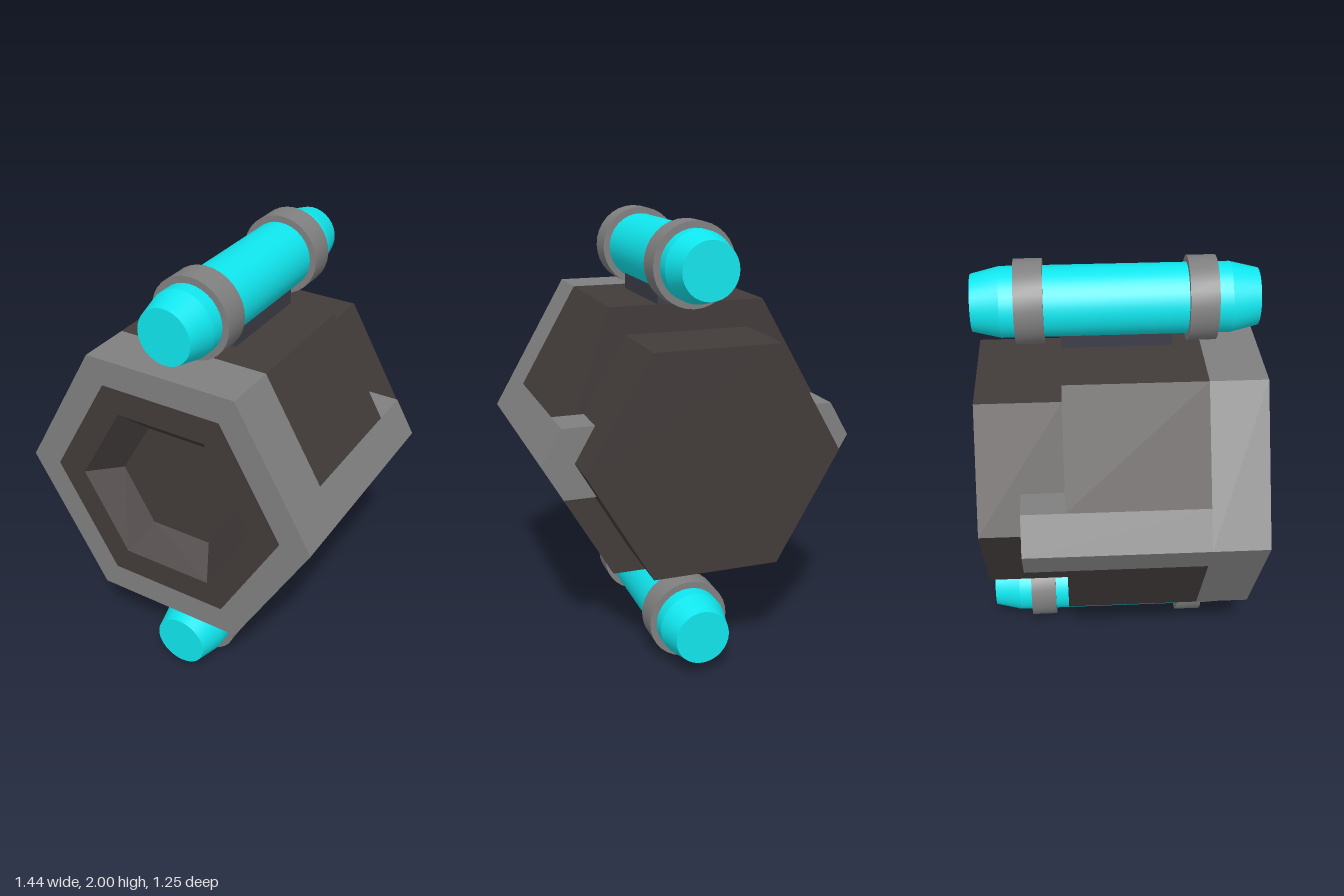
import * as THREE from 'three';
import { toCreasedNormals } from 'three/addons/utils/BufferGeometryUtils.js';

const material = (color, flatShading = false) => new THREE.MeshStandardMaterial({ color, flatShading });

// Corner points of a hexagon with corners on the x axis
const hexPoints = (r) =>
  Array.from({ length: 6 }, (_, i) => new THREE.Vector2(r * Math.cos((i * Math.PI) / 3), r * Math.sin((i * Math.PI) / 3)));

// Straight extrusion along z between two depths
function prism(points, back, front, hole) {
  const shape = new THREE.Shape(points);
  if (hole) shape.holes.push(new THREE.Path(hole));
  return new THREE.ExtrudeGeometry(shape, { depth: front - back, bevelEnabled: false }).translate(0, 0, back);
}

// Profile of [radius, z] pairs turned about the z axis
function turned(profile, sides) {
  const points = profile.map(([r, z]) => new THREE.Vector2(r, z));
  return new THREE.LatheGeometry(points, sides, Math.PI / 2).rotateX(Math.PI / 2);
}

export function createModel() {
  const model = new THREE.Group();
  const grey = material(0x808080);
  const dark = material(0x423b3a);
  const darkFlat = material(0x423b3a, true);
  const slate = material(0x3d3e48);
  const cyan = material(0x10e6ee);

  const add = (name, geometry, mat, parent) => {
    const mesh = new THREE.Mesh(geometry, mat);
    mesh.name = name;
    parent.add(mesh);
    return mesh;
  };

  const R = 0.722, INNER = 0.577, ARM = 0.16;
  const edgeX = (r) => r - ARM / Math.sqrt(3); // hexagon edge at the arm's height

  const housing = new THREE.Group();
  housing.name = 'housing';
  housing.position.y = 1;
  model.add(housing);

  // Front collar and the recessed core inside it
  add('frontCollar', prism(hexPoints(R), 0.375, 0.625, hexPoints(INNER)), grey, housing);
  const core = [[0, 0.375], [INNER, 0.375], [INNER, 0.625], [0.433, 0.625], [0.3, 0.5], [0, 0.5]];
  add('recessedCore', turned(core, 6), darkFlat, housing);

  // Middle body: hexagon with its side corners cut off for the arms
  const h = R * Math.sin(Math.PI / 3);
  const body = [
    [R / 2, h], [-R / 2, h], [-edgeX(R), ARM], [-edgeX(R), -ARM],
    [-R / 2, -h], [R / 2, -h], [edgeX(R), -ARM], [edgeX(R), ARM],
  ].map((p) => new THREE.Vector2(...p));
  add('middleBody', prism(body, -0.245, 0.375), dark, housing);
  add('rearBody', prism(hexPoints(INNER), -0.625, -0.245), dark, housing);

  // Chevron arms wrapping the left and right corners
  for (const [name, s] of [['leftArm', 1], ['rightArm', -1]]) {
    const arm = [
      [edgeX(R), ARM], [edgeX(INNER), ARM], [INNER, 0],
      [edgeX(INNER), -ARM], [edgeX(R), -ARM], [R, 0],
    ].map(([x, y]) => new THREE.Vector2(s * x, y));
    add(name, prism(arm, -0.435, 0.375), grey, housing);
  }

  // Canisters above and below, each with two rings and a mounting block
  const canister = [[0, -0.625], [0.125, -0.625], [0.155, -0.5], [0.155, 0.5], [0.125, 0.625], [0, 0.625]];
  const ring = [[0.15, -0.0625], [0.185, -0.0625], [0.185, 0.0625], [0.15, 0.0625]];
  const canisterGeometry = toCreasedNormals(turned(canister, 32), 0.22);
  const ringGeometry = toCreasedNormals(turned(ring, 32), 0.5);
  for (const [prefix, x, y, mountY] of [['upper', 0.04, 1.815, 1.65], ['lower', 0.06, 0.185, 0.375]]) {
    const group = new THREE.Group();
    group.name = prefix + 'Canister';
    group.position.set(x, y, 0);
    model.add(group);
    add(prefix + 'Tube', canisterGeometry, cyan, group);
    add(prefix + 'FrontRing', ringGeometry, grey, group).position.z = 0.375;
    add(prefix + 'RearRing', ringGeometry, grey, group).position.z = -0.375;
    add(prefix + 'Mount', new THREE.BoxGeometry(0.18, 0.1, 0.49), slate, model).position.set(0.05, mountY, 0.003);
  }
  return model;
}
